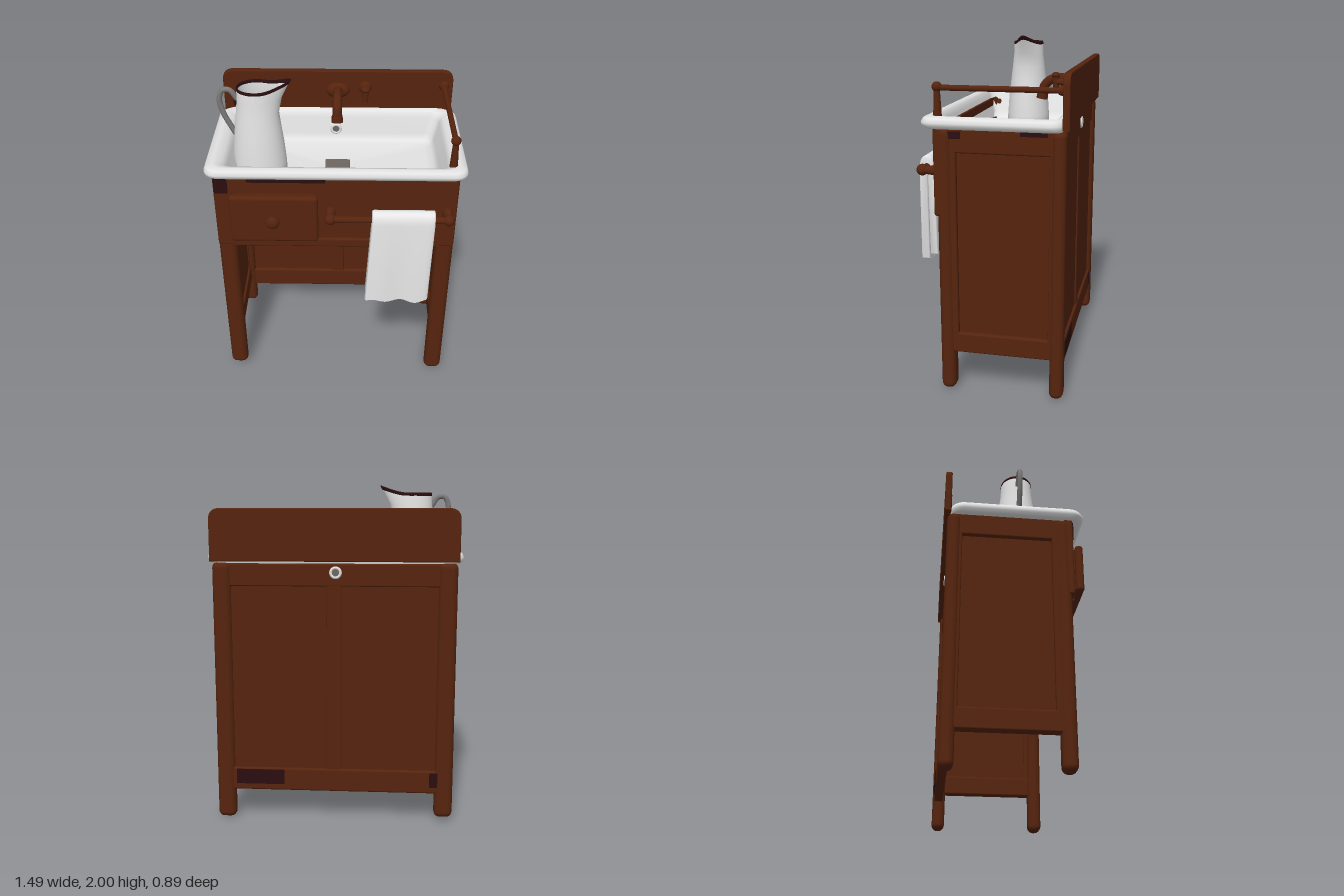
import * as THREE from 'three';
import { RoundedBoxGeometry } from 'three/addons/geometries/RoundedBoxGeometry.js';
import { toCreasedNormals } from 'three/addons/utils/BufferGeometryUtils.js';

const mat = (name, color, side = THREE.FrontSide) => {
  const m = new THREE.MeshStandardMaterial({ color, side });
  m.name = name;
  return m;
};
const V = (x, y, z) => new THREE.Vector3(x, y, z);

// Closed skin through rounded-rectangle rings [x0, x1, z0, z1, y, cornerRadius]
function loftRings(rings, seg = 6) {
  const pos = [], idx = [], n = 4 * (seg + 1);
  for (const [x0, x1, z0, z1, y, r] of rings) {
    const corners = [[x1 - r, z1 - r], [x0 + r, z1 - r], [x0 + r, z0 + r], [x1 - r, z0 + r]];
    corners.forEach(([cx, cz], q) => {
      for (let i = 0; i <= seg; i++) {
        const a = (q + i / seg) * Math.PI / 2;
        pos.push(cx + r * Math.cos(a), y, cz + r * Math.sin(a));
      }
    });
  }
  for (let k = 0; k < rings.length - 1; k++) {
    for (let i = 0; i < n; i++) {
      const a = k * n + i, b = k * n + (i + 1) % n;
      idx.push(a, a + n, b, b, a + n, b + n);
    }
  }
  const g = new THREE.BufferGeometry();
  g.setAttribute('position', new THREE.Float32BufferAttribute(pos, 3));
  g.setIndex(idx);
  return toCreasedNormals(g, 0.9);
}

export function createModel() {
  const root = new THREE.Group();
  root.name = 'washstand';
  const wood = mat('brown wood', 0x56240e);
  const enamel = mat('white enamel', 0xe2e2e2, THREE.DoubleSide);
  const cloth = mat('white cloth', 0xe6e6e6, THREE.DoubleSide);
  const dark = mat('dark maroon', 0x2b0e10, THREE.DoubleSide);
  const grey = mat('grey metal', 0x7c7a78);
  const drainGrey = mat('drain grey', 0x6f6660);

  const add = (name, geo, m, parent = root) => {
    const mesh = new THREE.Mesh(geo, m);
    mesh.name = name;
    parent.add(mesh);
    return mesh;
  };
  // Box given by its extents, optionally rounded
  const box = (name, m, x0, x1, y0, y1, z0, z1, r = 0) => {
    const s = [x1 - x0, y1 - y0, z1 - z0];
    const g = r ? new RoundedBoxGeometry(...s, 3, r) : new THREE.BoxGeometry(...s);
    g.translate((x0 + x1) / 2, (y0 + y1) / 2, (z0 + z1) / 2);
    return add(name, g, m);
  };
  // Round bar between two points
  const bar = (name, m, a, b, r0, r1 = r0) => {
    const mesh = add(name, new THREE.CylinderGeometry(r1, r0, a.distanceTo(b), 16), m);
    mesh.position.copy(a).lerp(b, 0.5);
    mesh.quaternion.setFromUnitVectors(V(0, 1, 0), b.clone().sub(a).normalize());
    return mesh;
  };
  const ball = (name, m, x, y, z, r, sx = 1, sy = 1, sz = 1) => {
    const mesh = add(name, new THREE.SphereGeometry(r, 16, 12), m);
    mesh.position.set(x, y, z);
    mesh.scale.set(sx, sy, sz);
    return mesh;
  };

  // Legs and framed side panels
  for (const s of [-1, 1]) {
    const side = (name, a, b, ...rest) =>
      box(name, wood, Math.min(s * a, s * b), Math.max(s * a, s * b), ...rest);
    const foot = s < 0 ? 0.03 : 0;
    side('frontLeg', 0.6, 0.71, foot, 1.56, 0.205, 0.29, 0.038);
    side('backLeg', 0.6, 0.71, foot, 1.56, -0.43, -0.35, 0.036);
    side('sidePanel', 0.645, 0.67, 0.28, 1.55, -0.38, 0.25);
    side('sideBottomRail', 0.63, 0.695, 0.24, 0.36, -0.39, 0.25, 0.01);
    side('sideTopRail', 0.635, 0.695, 1.42, 1.56, -0.39, 0.25, 0.01);
    side('sideFrontStile', 0.635, 0.695, 0.26, 1.55, 0.18, 0.25, 0.01);
    side('sideBackStile', 0.635, 0.695, 0.26, 1.55, -0.39, -0.34, 0.01);
    side('cornerPost', 0.59, 0.705, 1.06, 1.56, 0.25, 0.305, 0.012);
  }

  // Back panel with rails and centre stile
  box('backPanel', wood, -0.63, 0.63, 0.22, 1.55, -0.405, -0.385);
  box('backBottomRail', wood, -0.63, 0.63, 0.18, 0.32, -0.42, -0.365, 0.012);
  box('backCentreStile', wood, -0.045, 0.045, 0.3, 1.5, -0.414, -0.37, 0.008);
  box('backTopRail', wood, -0.63, 0.63, 1.42, 1.55, -0.415, -0.385, 0.008);

  // Front apron with lower ledge and drawer
  box('apron', wood, -0.62, 0.62, 1.06, 1.555, 0.275, 0.305);
  box('apronLedge', wood, -0.61, 0.6, 1.06, 1.12, 0.26, 0.32, 0.012);
  box('drawerBody', wood, -0.58, -0.13, 1.16, 1.43, 0.24, 0.35);
  box('drawerFront', wood, -0.61, -0.1, 1.14, 1.45, 0.335, 0.383, 0.02);
  bar('drawerKnobStem', wood, V(-0.36, 1.3, 0.37), V(-0.36, 1.3, 0.41), 0.02);
  ball('drawerKnob', wood, -0.36, 1.3, 0.412, 0.04, 1, 1, 0.55);

  // Splashback with rounded upper corners
  const sb = new THREE.Shape();
  sb.moveTo(-0.71, 1.57);
  sb.lineTo(0.71, 1.57);
  sb.lineTo(0.71, 1.8);
  sb.quadraticCurveTo(0.71, 1.858, 0.65, 1.86);
  sb.lineTo(-0.65, 1.86);
  sb.quadraticCurveTo(-0.71, 1.858, -0.71, 1.8);
  sb.closePath();
  const sbGeo = new THREE.ExtrudeGeometry(sb, {
    depth: 0.024, bevelSize: 0.006, bevelThickness: 0.007, bevelSegments: 2, curveSegments: 8,
  });
  sbGeo.translate(0, 0, -0.44);
  add('splashback', sbGeo, wood);

  // Basin: underside, rolled rim, sloping walls and floor
  add('basin', loftRings([
    [-0.02, 0.02, -0.04, 0, 1.385, 0.01],
    [-0.57, 0.59, -0.34, 0.25, 1.39, 0.06],
    [-0.63, 0.63, -0.37, 0.285, 1.55, 0.05],
    [-0.72, 0.72, -0.41, 0.35, 1.553, 0.06],
    [-0.742, 0.742, -0.415, 0.372, 1.57, 0.075],
    [-0.745, 0.745, -0.415, 0.376, 1.588, 0.08],
    [-0.735, 0.735, -0.41, 0.365, 1.61, 0.08],
    [-0.7, 0.7, -0.4, 0.34, 1.622, 0.07],
    [-0.645, 0.655, -0.37, 0.31, 1.612, 0.06],
    [-0.62, 0.635, -0.355, 0.295, 1.575, 0.06],
    [-0.59, 0.61, -0.345, 0.28, 1.47, 0.06],
    [-0.565, 0.59, -0.33, 0.262, 1.43, 0.06],
    [-0.52, 0.55, -0.3, 0.23, 1.418, 0.06],
    [-0.02, 0.02, -0.04, 0, 1.41, 0.01],
  ]), enamel);
  box('drain', drainGrey, -0.07, 0.08, 1.405, 1.417, -0.11, 0.01, 0.005);

  // Overflow outlet, on the basin wall and through the back
  for (const [z, y] of [[-0.345, 1.5], [-0.417, 1.5]]) {
    const ring = add('overflowRing', new THREE.TorusGeometry(0.028, 0.009, 8, 20), enamel);
    ring.position.set(-0.01, y, z);
    bar('overflowHole', drainGrey, V(-0.01, y, z - 0.004), V(-0.01, y, z + 0.004), 0.024);
  }

  // Spout
  ball('spoutBase', wood, 0, 1.74, -0.405, 0.05, 1.5, 1, 0.7);
  const spoutPath = new THREE.CatmullRomCurve3([
    V(0, 1.74, -0.41), V(0, 1.765, -0.32), V(0, 1.76, -0.24), V(0, 1.72, -0.19), V(0, 1.65, -0.175),
  ]);
  add('spout', new THREE.TubeGeometry(spoutPath, 24, 0.028, 12), wood);
  bar('spoutMouth', wood, V(0, 1.64, -0.173), V(0, 1.68, -0.18), 0.035, 0.033);

  // Tap
  ball('tapBase', wood, 0.17, 1.76, -0.405, 0.04, 1, 1, 0.6);
  bar('tapStem', wood, V(0.17, 1.76, -0.41), V(0.17, 1.76, -0.28), 0.02);
  bar('tapHandle', wood, V(0.17, 1.72, -0.285), V(0.17, 1.8, -0.285), 0.017, 0.02);
  ball('tapKnob', wood, 0.17, 1.8, -0.285, 0.025, 1.1, 0.7, 1);

  // Side rail over the basin
  bar('sideRail', wood, V(0.66, 1.77, -0.42), V(0.66, 1.77, 0.28), 0.016);
  bar('sideRailSocket', wood, V(0.66, 1.77, -0.42), V(0.66, 1.77, -0.38), 0.035, 0.022);
  bar('sideRailPost', wood, V(0.66, 1.61, 0.285), V(0.66, 1.77, 0.285), 0.024, 0.016);
  ball('sideRailFinial', wood, 0.66, 1.775, 0.285, 0.028);

  // Towel rail
  bar('towelRail', wood, V(-0.04, 1.31, 0.385), V(0.66, 1.31, 0.385), 0.02);
  for (const x of [-0.03, 0.65]) {
    ball('towelRailEnd', wood, x, 1.31, 0.385, 0.033);
    bar('towelRailBracket', wood, V(x, 1.31, 0.29), V(x, 1.31, 0.385), 0.032, 0.02);
  }

  // Towel folded over the rail; outline runs in (-z, y)
  const fold = new THREE.Shape();
  fold.moveTo(-0.43, 0.75);
  fold.lineTo(-0.425, 1.3);
  fold.quadraticCurveTo(-0.42, 1.365, -0.385, 1.365);
  fold.quadraticCurveTo(-0.352, 1.365, -0.35, 1.3);
  fold.lineTo(-0.345, 0.78);
  fold.lineTo(-0.375, 0.78);
  fold.lineTo(-0.377, 1.29);
  fold.lineTo(-0.393, 1.29);
  fold.lineTo(-0.395, 0.75);
  fold.closePath();
  const towel = new THREE.ExtrudeGeometry(fold, {
    depth: 0.34, steps: 16, curveSegments: 6, bevelSize: 0.008, bevelThickness: 0.01, bevelSegments: 2,
  });
  towel.rotateY(Math.PI / 2);
  const tp = towel.attributes.position;
  for (let i = 0; i < tp.count; i++) {
    const x = tp.getX(i), y = tp.getY(i), drop = Math.max(0, (1.3 - y) / 0.55);
    tp.setX(i, 0.22 + x - drop * 0.03 * (1 - x / 0.5));
    tp.setY(i, y + drop * 0.01 * Math.sin(x * 40));
    tp.setZ(i, tp.getZ(i) + drop * 0.007 * Math.sin(x * 28));
  }
  add('towel', toCreasedNormals(towel, 0.8), cloth);

  // Pitcher: a turned body whose lip is drawn out to a pouring spout
  const pitcher = new THREE.Group();
  pitcher.name = 'pitcher';
  pitcher.position.set(-0.46, 1.415, 0);
  root.add(pitcher);
  const drawLip = (g) => {
    const p = g.attributes.position;
    for (let i = 0; i < p.count; i++) {
      const x = p.getX(i), y = p.getY(i), z = p.getZ(i);
      const t = Math.max(0, (y - 0.34) / 0.2);
      const c = Math.max(0, x / (Math.hypot(x, z) || 1));
      const pull = t * t * Math.pow(c, 5);
      p.setXYZ(i, x + 0.095 * pull, y + 0.045 * pull, z * (0.86 - 0.15 * pull));
    }
    g.computeVertexNormals();
    return g;
  };
  const lathe = (pts) =>
    drawLip(new THREE.LatheGeometry(pts.map(([r, y]) => new THREE.Vector2(r, y)), 40));
  add('pitcherBody', lathe([
    [0, 0], [0.15, 0], [0.162, 0.015], [0.16, 0.06], [0.15, 0.18], [0.137, 0.28], [0.123, 0.38],
    [0.113, 0.46], [0.11, 0.525], [0.104, 0.525], [0.107, 0.46], [0.117, 0.38], [0.142, 0.18],
    [0.15, 0.04], [0, 0.03],
  ]), enamel, pitcher);
  add('pitcherRim', lathe([[0.111, 0.522], [0.112, 0.534], [0.108, 0.541], [0.102, 0.534], [0.103, 0.522]]),
    dark, pitcher);
  const handlePath = new THREE.CatmullRomCurve3([
    V(-0.11, 0.46, 0), V(-0.15, 0.515, 0), V(-0.19, 0.515, 0), V(-0.212, 0.46, 0),
    V(-0.195, 0.37, 0), V(-0.16, 0.29, 0), V(-0.135, 0.24, 0),
  ]);
  add('pitcherHandle', new THREE.TubeGeometry(handlePath, 30, 0.016, 10), grey, pitcher);

  // Worn dark patches as thin plates [x0, x1, y0, y1, z0, z1]
  [
    [-0.7, -0.62, 1.43, 1.54, 0.304, 0.309],
    [-0.51, -0.06, 1.505, 1.535, 0.304, 0.309],
    [-0.66, -0.61, 1.63, 1.71, -0.412, -0.406],
    [0.694, 0.699, 1.5, 1.54, 0.15, 0.25],
    [0.694, 0.699, 1.525, 1.55, -0.33, -0.18],
    [0.3, 0.59, 0.22, 0.31, -0.425, -0.419],
    [-0.62, -0.57, 0.22, 0.31, -0.425, -0.419],
    [-0.62, -0.59, 0.55, 0.8, -0.386, -0.38],
  ].forEach((p) => box('wornPatch', dark, ...p));

  return root;
}
